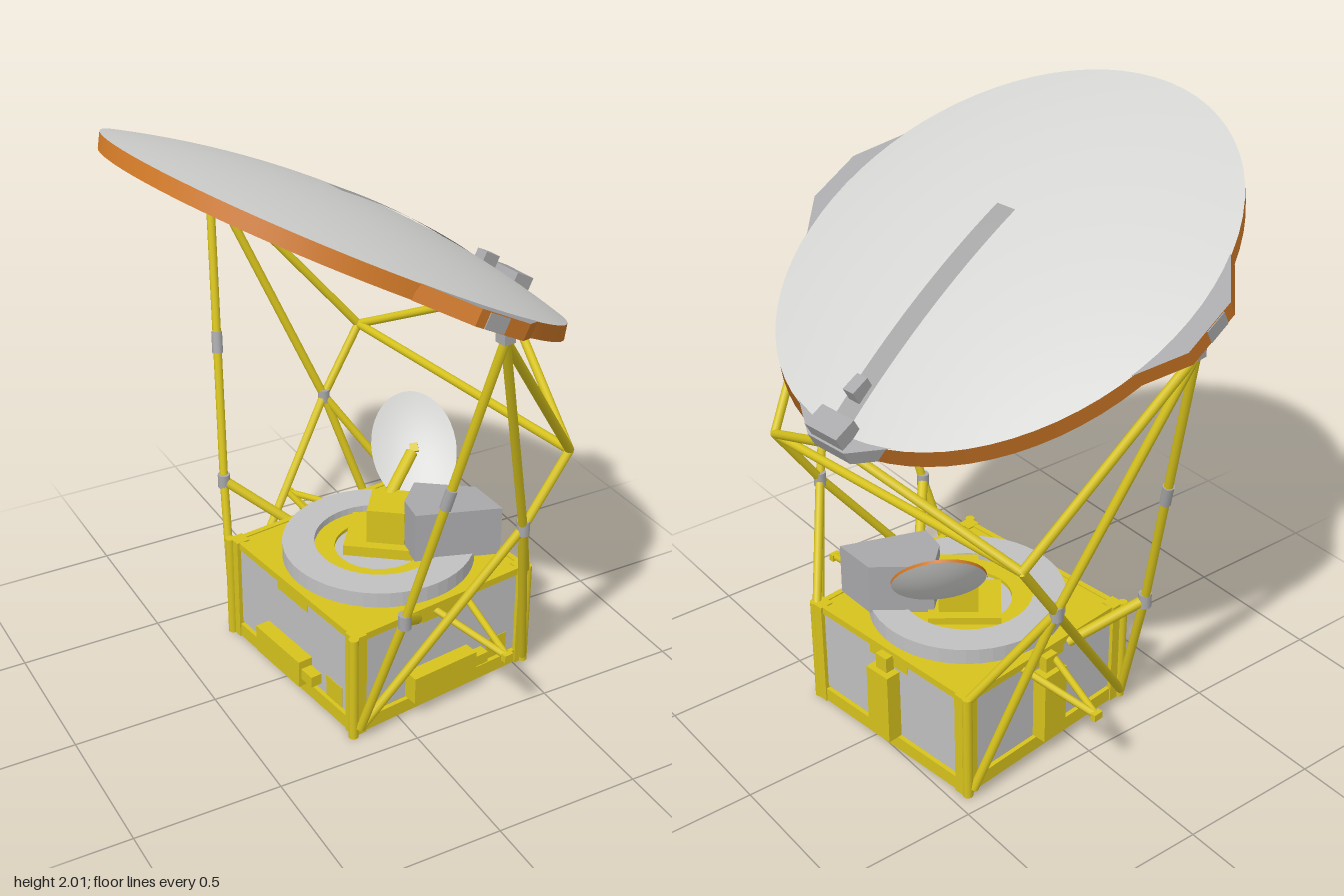
import * as THREE from 'three';

const mat = (name, color, side = THREE.FrontSide) => {
  const m = new THREE.MeshStandardMaterial({ color, side });
  m.name = name;
  return m;
};

export function createModel() {
  const yellow = mat('yellow frame', 0xd6c21c);
  const grey = mat('grey fitting', 0xa8a8aa);
  const lightGrey = mat('panel grey', 0xc0c0c0);
  const white = mat('reflector white', 0xd4d4d2, THREE.DoubleSide);
  const stripGrey = mat('strip grey', 0xa4a4a4, THREE.DoubleSide);
  const orange = mat('orange rim', 0xcb7626);
  const V = (x, y, z) => new THREE.Vector3(x, y, z);
  const UP = V(0, 1, 0);

  const root = new THREE.Group();
  root.name = 'dishSatellite';
  const craft = new THREE.Group();
  craft.name = 'craft';
  craft.rotation.y = 0.13;
  root.add(craft);

  const add = (parent, name, geo, material, x = 0, y = 0, z = 0) => {
    const m = new THREE.Mesh(geo, material);
    m.name = name;
    m.position.set(x, y, z);
    parent.add(m);
    return m;
  };
  const box = (parent, name, material, w, h, d, x, y, z) =>
    add(parent, name, new THREE.BoxGeometry(w, h, d), material, x, y, z);
  const rod = (name, a, b, r = 0.015, material = yellow, parent = craft) => {
    const mid = a.clone().lerp(b, 0.5);
    const m = add(parent, name, new THREE.CylinderGeometry(r, r, a.distanceTo(b), 10), material, mid.x, mid.y, mid.z);
    m.quaternion.setFromUnitVectors(UP, b.clone().sub(a).normalize());
  };

  // Body: yellow core, grey side panels, corner posts and edge rails
  const W = 0.35, H = 0.39;
  const body = new THREE.Group();
  body.name = 'body';
  body.position.x = 0.14;
  craft.add(body);
  box(body, 'core', yellow, 2 * W, H - 0.01, 2 * W, 0, H / 2, 0);
  for (const sx of [-1, 1]) for (const sz of [-1, 1]) {
    box(body, 'cornerPost', yellow, 0.05, H, 0.05, sx * 0.345, H / 2, sz * 0.345);
    const x = sx > 0 ? 0.358 : -0.37;
    add(body, 'postTube', new THREE.CylinderGeometry(0.017, 0.017, H, 10), yellow, x, H / 2, sz * 0.366);
  }
  for (let i = 0; i < 4; i++) {
    const side = new THREE.Group();
    side.name = 'bodySide';
    side.rotation.y = i * Math.PI / 2; // faces +z, +x, -z, -x in turn
    body.add(side);
    box(side, 'sidePanel', lightGrey, 0.64, 0.3, 0.008, 0, 0.21, W + 0.002);
    box(side, 'bottomRail', yellow, 0.66, 0.05, 0.025, 0, 0.027, W + 0.003);
    box(side, 'topRail', yellow, 0.66, 0.025, 0.02, 0, H - 0.013, W + 0.002);
    box(side, 'railTab', yellow, 0.18, 0.04, 0.012, 0, H - 0.04, W + 0.002);
    if (i % 3 === 0) {
      box(side, 'equipmentBox', yellow, 0.26, 0.1, 0.06, -0.02, 0.11, W + 0.03);
      box(side, 'connector', yellow, 0.06, 0.04, 0.04, 0.14, 0.11, W + 0.03);
      box(side, 'bracket', yellow, 0.09, 0.08, 0.012, 0.24, 0.1, W + 0.002);
    } else {
      box(side, 'equipmentBox', yellow, 0.1, 0.26, 0.06, 0, 0.19, W + 0.03);
      box(side, 'connector', yellow, 0.05, 0.06, 0.04, 0, 0.345, W + 0.02);
    }
  }

  // Turntable ring on the deck
  const ring = (name, r0, r1, y0, y1, material) => {
    const p = [[r0, y0], [r1, y0], [r1, y1], [r0, y1], [r0, y0]].map(([r, y]) => new THREE.Vector2(r, y));
    const pts = p.slice(0, -1).flatMap((q, k) => [q, p[k + 1]]); // doubled points keep the edges sharp
    const g = new THREE.LatheGeometry(pts, 48).toNonIndexed();
    g.computeVertexNormals();
    add(body, name, g, material);
  };
  ring('turntableRing', 0.22, 0.33, 0.38, 0.44, lightGrey);
  ring('innerRing', 0.15, 0.22, 0.38, 0.415, yellow);
  add(body, 'turntableDisc', new THREE.CylinderGeometry(0.15, 0.15, 0.02, 40), lightGrey, 0, 0.392, 0);

  // Instrument block with angled walls beside its yellow pedestal
  const plan = [[0.465, 0.245], [0.46, 0.085], [0.29, -0.04], [0.2, 0.05], [0.185, 0.15]];
  const block = new THREE.ExtrudeGeometry(new THREE.Shape(plan.map(([x, z]) => new THREE.Vector2(x, -z))),
    { depth: 0.18, bevelEnabled: false });
  block.rotateX(-Math.PI / 2);
  add(root, 'instrumentBox', block, grey, 0, 0.43, 0);
  const pedestal = new THREE.Group();
  pedestal.name = 'pedestal';
  pedestal.position.set(0.19, 0, -0.04);
  pedestal.rotation.y = -0.65;
  root.add(pedestal);
  box(pedestal, 'pedestalBlock', yellow, 0.13, 0.13, 0.15, 0, 0.5, 0);
  box(pedestal, 'pedestalFoot', yellow, 0.24, 0.04, 0.22, -0.02, 0.42, 0);

  // Small oval antenna dish
  const small = new THREE.Group();
  small.name = 'smallDish';
  small.position.set(0.37, 0.655, -0.18);
  const facing = V(-0.44, 0.6, 0.66).normalize();
  const across = facing.clone().cross(V(0.15, 0.76, -0.59)).normalize();
  small.quaternion.setFromRotationMatrix(
    new THREE.Matrix4().makeBasis(across, facing, across.clone().cross(facing)));
  small.scale.x = 0.74;
  root.add(small);
  const bowl = [];
  for (let i = 0; i <= 8; i++) bowl.push(new THREE.Vector2(0.2 * i / 8, 0.03 * (i / 8) ** 2 - 0.02));
  add(small, 'bowl', new THREE.LatheGeometry(bowl, 40), white);
  add(small, 'bowlRim', new THREE.CylinderGeometry(0.202, 0.202, 0.01, 40, 1, true), orange, 0, 0.006, 0);
  box(small, 'feed', yellow, 0.04, 0.03, 0.03, 0, 0, 0);
  rod('dishArm', V(0.2, 0.53, -0.08), V(0.355, 0.645, -0.17), 0.022, yellow, root);

  // Support truss, mirrored across the craft
  const F = V(0.665, 1.22, 0);
  for (const s of [-1, 1]) {
    const P = V(-0.012, 1.55, s * 0.775), K = V(0.465, 0.945, s * 0.565);
    const J = V(0.3, 0.71, s * 0.55), L = V(-0.15, 0.52, s * 0.525);
    const A = V(-0.215, 0.04, s * 0.385), B = V(0.485, 0.03, s * 0.38), BT = V(0.49, 0.38, s * 0.365);
    rod('rearLeg', P, L);
    rod('rearLegHinge', P.clone().lerp(L, 0.5), P.clone().lerp(L, 0.57), 0.019, grey);
    rod('crossStrut', P, J);
    rod('upperStrut', P, K);
    rod('tipStrut', F, K);
    rod('kneeStrut', K, J);
    rod('lowerBrace', J, A);
    rod('lowerBrace', J, B);
    rod('lowerBrace', J, BT);
    rod('rearFoot', L, A);
    rod('rearBrace', L, V(0.03, 0.36, s * 0.36), 0.018);
    for (const q of [J, L]) rod('hinge', q.clone().add(V(0, -0.025, 0)), q.clone().add(V(0, 0.025, 0)), 0.022, grey);
    box(craft, 'topNode', grey, 0.04, 0.04, 0.04, P.x, P.y + 0.015, P.z);
    // Side outrigger
    const tip = V(0.19, 0.3, s * 0.63);
    for (const [x, y] of [[0.11, 0.36], [0.24, 0.36], [0.18, 0.29]]) rod('outrigger', V(x, y, s * 0.35), tip, 0.012);
    box(craft, 'outriggerTip', yellow, 0.035, 0.025, 0.02, tip.x, tip.y, tip.z);
  }
  rod('kneeBar', V(0.465, 0.945, -0.565), V(0.465, 0.945, 0.565));

  // Main reflector: thick domed shell, slanted orange rim, mounting tabs
  const dish = new THREE.Group();
  dish.name = 'mainReflector';
  dish.position.set(-0.035, 1.582, 0);
  dish.rotation.z = -0.494;
  craft.add(dish);
  const R = 0.785, Q = 0.935, T = 0.05, SHIFT = -0.016;
  const dome = r => T + 0.105 * (1 - (r / R) ** 2);
  const skin = [];
  for (let i = 0; i <= 14; i++) skin.push(new THREE.Vector2(R * (1 - i / 14), dome(R * (1 - i / 14))));
  add(dish, 'reflectorSkin', new THREE.LatheGeometry(skin, 72), white, SHIFT).scale.z = Q;
  add(dish, 'reflectorUnderside', new THREE.LatheGeometry(skin.slice().reverse(), 72), white, 0, -T).scale.z = Q;
  const rim = new THREE.CylinderGeometry(R, R, T, 72, 1, true);
  rim.translate(0, T / 2, 0);
  const rp = rim.attributes.position;
  for (let i = 0; i < rp.count; i++) rp.setX(i, rp.getX(i) + SHIFT * rp.getY(i) / T);
  add(dish, 'reflectorRim', rim, orange).scale.z = Q;

  // Trapezoid tab pointing along +z before it is turned
  const tab = (name, turn, inner, outer, hi, ho, sideMat, x = 0) => {
    const sh = new THREE.Shape([[-hi, inner], [hi, inner], [ho, outer], [-ho, outer]].map(p => new THREE.Vector2(...p)));
    const g = new THREE.ExtrudeGeometry(sh, { depth: T + 0.002, bevelEnabled: false });
    g.rotateX(Math.PI / 2);
    add(dish, name, g, [grey, sideMat], x, T + 0.001, 0).rotation.y = turn;
  };
  for (const s of [-1, 1]) {
    tab('sideTab', s > 0 ? 0 : Math.PI, 0.69, 0.8, 0.25, 0.1, orange, -0.025);
    box(dish, 'sideTabNotch', grey, 0.08, 0.048, 0.05, -0.05, 0.024, s * 0.778);
  }
  tab('tipTab', Math.PI / 2, 0.73, 0.815, 0.21, 0.08, grey);
  box(dish, 'tipBox', grey, 0.08, 0.1, 0.14, 0.768, 0.051, 0);
  box(dish, 'tipSensor', grey, 0.065, 0.05, 0.045, 0.635, 0.103, 0);

  // Flat strip following the dome
  const strip = new THREE.PlaneGeometry(0.83, 0.076, 24, 2);
  strip.rotateX(-Math.PI / 2);
  strip.translate(0.325, 0, 0);
  const p = strip.attributes.position;
  for (let i = 0; i < p.count; i++) p.setY(i, dome(Math.hypot(p.getX(i) - SHIFT, p.getZ(i) / Q)) + 0.004);
  strip.computeVertexNormals();
  add(dish, 'reflectorStrip', strip, stripGrey);

  return root;
}
